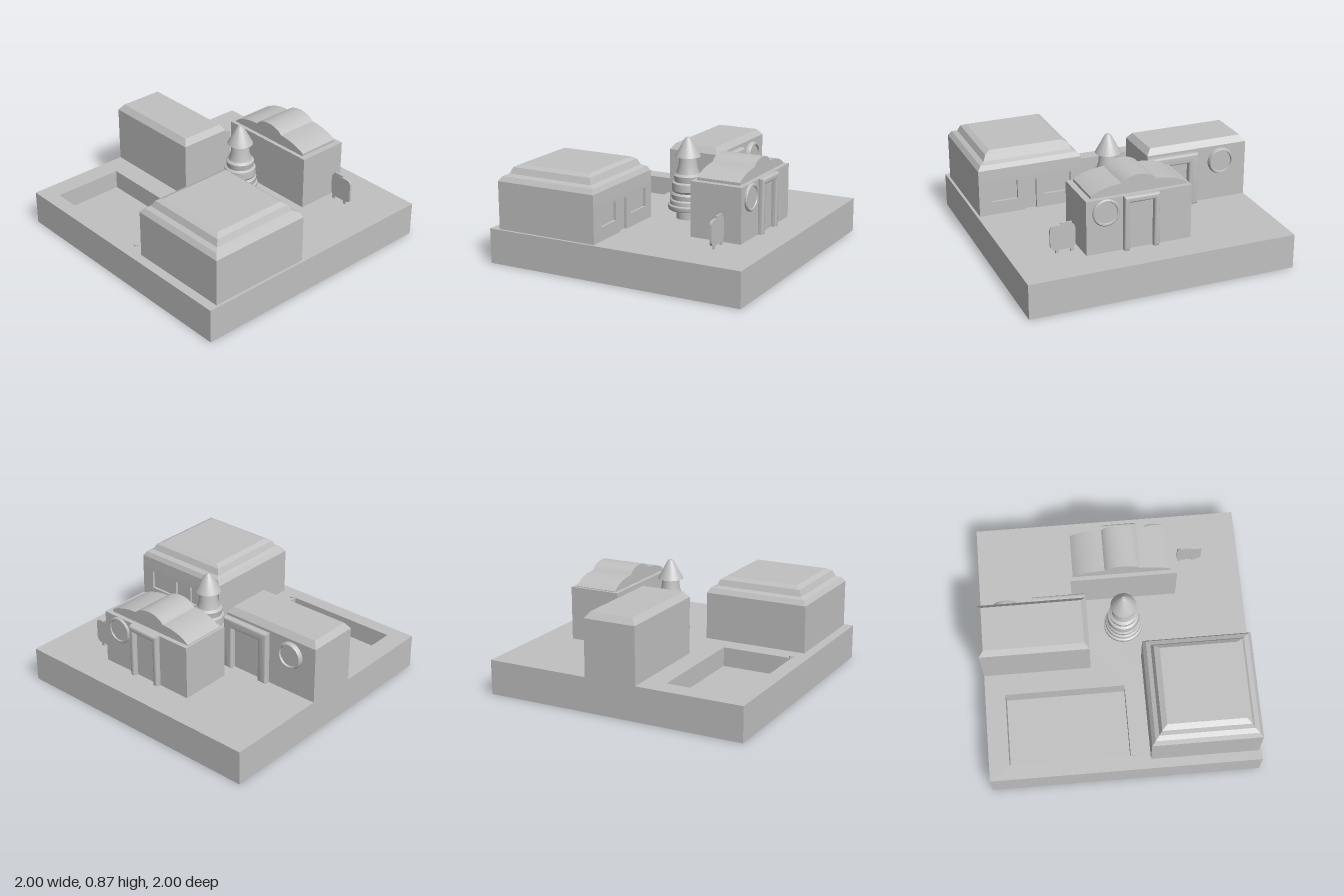
import * as THREE from 'three';
import { toCreasedNormals } from 'three/addons/utils/BufferGeometryUtils.js';

const G = 0.26; // ground level

export function createModel() {
  const model = new THREE.Group();
  const stone = new THREE.MeshStandardMaterial({ color: 0xc0c0c0 });
  stone.name = 'plain grey';

  const add = (parent, name, geometry) => {
    const mesh = new THREE.Mesh(geometry, stone);
    mesh.name = name;
    parent.add(mesh);
    return mesh;
  };
  const group = (name) => {
    const g = new THREE.Group();
    g.name = name;
    model.add(g);
    return g;
  };
  const box = (x0, x1, y0, y1, z0, z1) =>
    new THREE.BoxGeometry(x1 - x0, y1 - y0, z1 - z0).translate((x0 + x1) / 2, (y0 + y1) / 2, (z0 + z1) / 2);

  // closed rectangle path from corner to corner
  const rect = (P, a0, a1, b0, b1) => {
    const p = new P();
    p.moveTo(a0, b0); p.lineTo(a1, b0); p.lineTo(a1, b1); p.lineTo(a0, b1); p.closePath();
    return p;
  };

  // solid through stacked rectangles [x0, x1, z0, z1, y], bottom to top
  const stack = (rows) => {
    const ring = ([x0, x1, z0, z1, y]) => [[x0, y, z1], [x1, y, z1], [x1, y, z0], [x0, y, z0]];
    const pos = [];
    const quad = (a, b, c, d) => pos.push(...a, ...b, ...c, ...a, ...c, ...d);
    for (let i = 0; i + 1 < rows.length; i++) {
      const lo = ring(rows[i]), hi = ring(rows[i + 1]);
      for (let k = 0; k < 4; k++) quad(lo[k], lo[(k + 1) % 4], hi[(k + 1) % 4], hi[k]);
    }
    quad(...ring(rows[rows.length - 1]));
    quad(...ring(rows[0]).reverse());
    const g = new THREE.BufferGeometry();
    g.setAttribute('position', new THREE.Float32BufferAttribute(pos, 3));
    g.computeVertexNormals();
    return g;
  };

  // extrude a shape drawn in (-z, y) outwards along +x from x0
  const extrudeX = (shape, x0, depth, bevel = 0) => {
    const g = new THREE.ExtrudeGeometry(shape, {
      depth: depth - bevel, bevelEnabled: bevel > 0, bevelSize: bevel, bevelThickness: bevel,
      bevelOffset: -bevel, bevelSegments: 3, curveSegments: 10,
    });
    return toCreasedNormals(g.rotateY(Math.PI / 2).translate(x0, 0, 0), 0.6);
  };

  // door surround with an open foot
  const doorFrame = (parent, x, depth, z0, z1, top, width, lintel) => {
    const s = new THREE.Shape([
      [-z1, G], [-z1 + width, G], [-z1 + width, top - lintel], [-z0 - width, top - lintel],
      [-z0 - width, G], [-z0, G], [-z0, top], [-z1, top],
    ].map(([a, b]) => new THREE.Vector2(a, b)));
    add(parent, 'doorFrame', extrudeX(s, x, depth, 0.015));
  };

  // round window: rim turned about the x axis with a raised pane
  const roundWindow = (parent, x, depth, y, z) => {
    const pts = [[0.1, -0.005], [0.1, depth * 0.6], [0.093, depth], [0.082, depth], [0.078, depth * 0.6], [0, depth * 0.6]];
    const g = new THREE.LatheGeometry(pts.map(([r, h]) => new THREE.Vector2(r, h)), 32);
    add(parent, 'roundWindow', toCreasedNormals(g.rotateZ(-Math.PI / 2).translate(x, y, z), 0.6));
  };

  // ground slab with a sunken pool
  const ground = group('ground');
  add(ground, 'lowerSlab', box(-1, 1, 0, 0.115, -1, 1));
  const plot = rect(THREE.Shape, -1, 1, -1, 1);
  plot.holes.push(rect(THREE.Path, -0.89, -0.35, -0.04, 0.85));
  const upper = new THREE.ExtrudeGeometry(plot, { depth: G - 0.115, bevelEnabled: false });
  add(ground, 'upperSlabWithPool', upper.rotateX(-Math.PI / 2).translate(0, 0.115, 0));
  add(ground, 'poolKnob', new THREE.CylinderGeometry(0.017, 0.017, 0.012, 16).translate(-0.88, G + 0.004, 0.065));

  // large house with stepped roof
  const house = group('largeHouse');
  add(house, 'wallsAndRoof', stack([
    [-0.93, -0.155, 0.185, 0.98, G], [-0.93, -0.155, 0.185, 0.98, 0.53],
    [-0.93, -0.135, 0.185, 0.98, 0.53], [-0.93, -0.137, 0.185, 0.98, 0.615],
    [-0.905, -0.155, 0.21, 0.955, 0.65], [-0.87, -0.19, 0.24, 0.92, 0.665],
    [-0.85, -0.21, 0.26, 0.9, 0.71], [-0.81, -0.24, 0.3, 0.86, 0.73],
  ]));
  const wall = new THREE.Shape([
    [-0.98, G], [-0.63, G], [-0.63, 0.5], [-0.54, 0.5], [-0.54, G], [-0.185, G], [-0.185, 0.53], [-0.98, 0.53],
  ].map(([a, b]) => new THREE.Vector2(a, b)));
  wall.holes.push(rect(THREE.Path, -0.88, -0.685, 0.36, 0.505), rect(THREE.Path, -0.48, -0.27, 0.36, 0.505));
  add(house, 'wallWithOpenings', extrudeX(wall, -0.155, 0.02));

  // tall rear building with bevelled roof
  const rear = group('rearBuilding');
  add(rear, 'wallsAndRoof', stack([
    [-0.19, 0.21, -1, -0.2, G], [-0.19, 0.21, -1, -0.2, 0.685], [-0.155, 0.175, -0.965, -0.235, 0.73],
  ]));
  doorFrame(rear, 0.21, 0.045, -0.595, -0.2, 0.665, 0.075, 0.07);
  roundWindow(rear, 0.21, 0.035, 0.565, -0.79);

  // shop with a scalloped vaulted roof
  const shop = group('shop');
  add(shop, 'walls', box(0.355, 0.75, G, 0.665, -0.3, 0.49));
  const roof = new THREE.Shape();
  roof.moveTo(-0.445, 0.66);
  roof.lineTo(-0.445, 0.685);
  roof.quadraticCurveTo(-0.35, 0.74, -0.215, 0.745);
  roof.bezierCurveTo(-0.16, 0.81, 0, 0.81, 0.045, 0.74);
  roof.quadraticCurveTo(0.2, 0.74, 0.28, 0.67);
  roof.lineTo(0.28, 0.66);
  roof.closePath();
  add(shop, 'vaultedRoof', extrudeX(roof, 0.385, 0.33));
  doorFrame(shop, 0.75, 0.04, -0.045, 0.218, 0.665, 0.04, 0.045);
  roundWindow(shop, 0.75, 0.018, 0.565, 0.345);

  // standing sign with two short feet
  const sign = group('sign');
  const board = new THREE.Shape();
  board.moveTo(-0.68, 0.285);
  board.quadraticCurveTo(-0.712, 0.29, -0.712, 0.33);
  board.lineTo(-0.712, 0.43);
  board.quadraticCurveTo(-0.712, 0.467, -0.68, 0.47);
  board.lineTo(-0.56, 0.47);
  board.quadraticCurveTo(-0.527, 0.467, -0.527, 0.43);
  board.lineTo(-0.527, 0.33);
  board.quadraticCurveTo(-0.527, 0.29, -0.56, 0.285);
  board.closePath();
  add(sign, 'board', extrudeX(board, 0.62, 0.017));
  add(sign, 'topTab', box(0.622, 0.635, 0.465, 0.485, 0.55, 0.63));
  for (const z of [0.66, 0.55]) add(sign, 'foot', box(0.622, 0.635, G, 0.3, z - 0.012, z + 0.012));

  // tiered tree turned from one profile
  const profile = [
    [0, 0.26], [0.085, 0.26], [0.085, 0.325], [0.14, 0.33], [0.145, 0.34], [0.145, 0.365],
    [0.132, 0.372], [0.13, 0.4], [0.118, 0.41], [0.122, 0.445], [0.108, 0.46], [0.118, 0.475],
    [0.115, 0.53], [0.098, 0.54], [0.104, 0.585], [0.085, 0.6], [0.07, 0.65], [0.062, 0.72],
    [0.095, 0.725], [0.025, 0.855], [0.012, 0.867], [0, 0.868],
  ].map(([r, y]) => new THREE.Vector2(r, y));
  const tree = new THREE.LatheGeometry(profile, 28).translate(0.11, 0, 0.07);
  add(model, 'tree', toCreasedNormals(tree, 0.6));

  return model;
}
